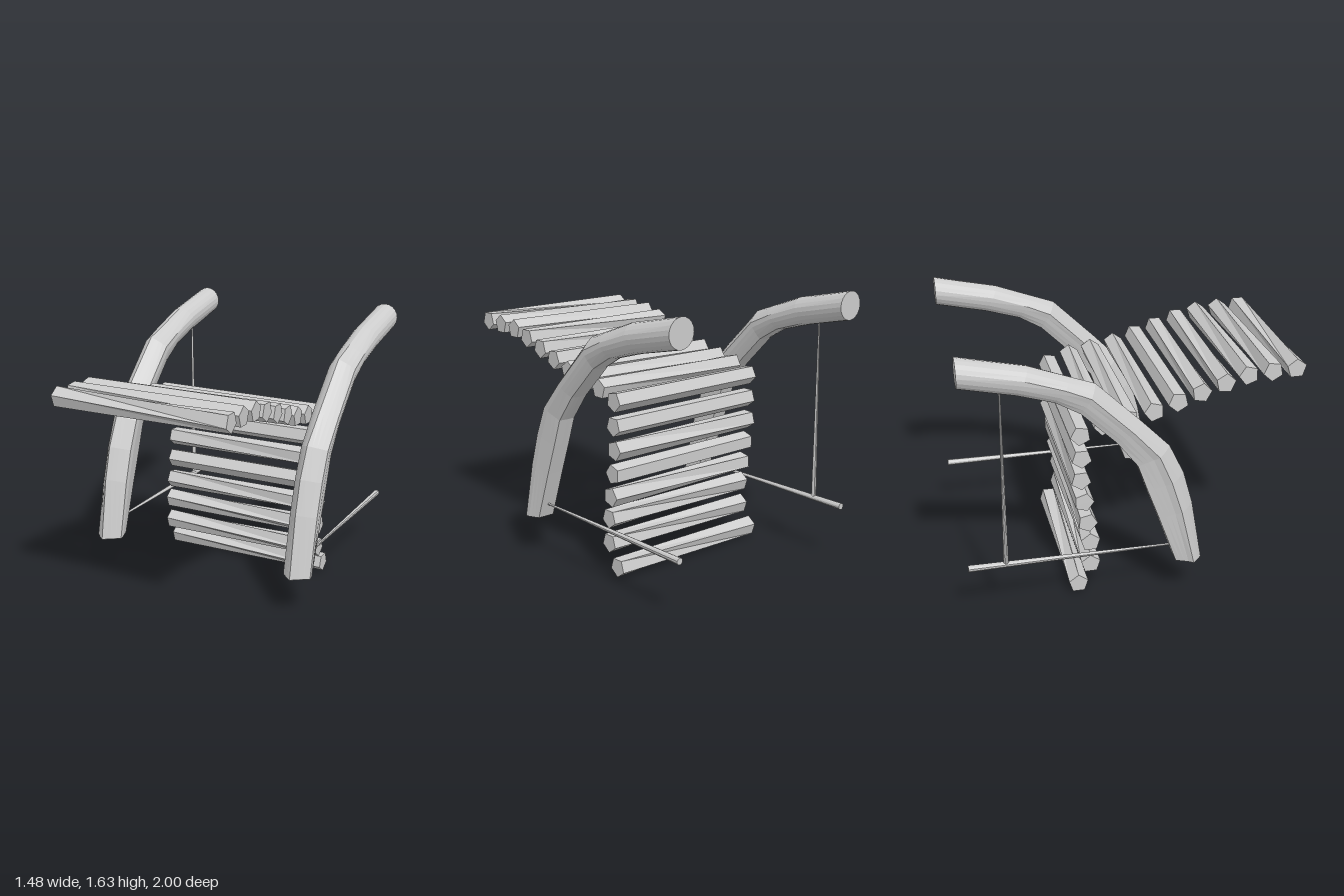
import * as THREE from 'three';

const material = new THREE.MeshStandardMaterial({ color: 0xcccccc, flatShading: true, side: THREE.DoubleSide });
const DEG = Math.PI / 180;
const lerp = THREE.MathUtils.lerp;

// Slats: [z, y, corner angle, twist towards the far end]
const seatSlats = [
  [0.94, 1.335, 270, 36], [0.8, 1.33, 90, 30], [0.655, 1.32, 90, 20], [0.52, 1.285, 270, 30],
  [0.38, 1.24, 270, 25], [0.245, 1.195, 265, 0], [0.105, 1.15, 90, 20], [-0.045, 1.12, 90, 20],
  [-0.185, 1.095, 90, 25],
];
const backSlats = [
  [-0.32, 1.045, 260, 0], [-0.315, 0.9, 270, 0], [-0.32, 0.76, 180, 20], [-0.305, 0.615, 0, 0],
  [-0.285, 0.475, 180, 30], [-0.27, 0.34, 270, 36], [-0.27, 0.19, 270, 36], [-0.345, 0.06, 270, 36],
];

// Five-sided bar along x whose far end is turned by a twist
function slat([z, y, angle, twist]) {
  const geo = new THREE.CylinderGeometry(0.06, 0.06, 1.08, 5).rotateZ(-Math.PI / 2);
  const p = geo.attributes.position;
  for (let i = 0; i < p.count; i++) {
    const a = (angle + (p.getX(i) < 0 ? twist : 0)) * DEG;
    const py = p.getY(i), pz = p.getZ(i);
    p.setXYZ(i, p.getX(i), py * Math.cos(a) + pz * Math.sin(a), pz * Math.cos(a) - py * Math.sin(a));
  }
  geo.computeVertexNormals();
  const mesh = new THREE.Mesh(geo, material);
  mesh.position.set(0, y, z);
  return mesh;
}

// Side rail stations: [outer z, outer y, inner z, inner y, roundness]
const stations = [
  [0.365, 0.24, 0.205, 0.25, 0], [0.3, 0.62, 0.1, 0.55, 0], [0.245, 0.82, 0.03, 0.74, 0],
  [0.16, 1.0, -0.03, 0.905, 0.1], [0, 1.165, -0.15, 1.06, 0.25], [-0.26, 1.42, -0.35, 1.255, 0.4],
  [-0.4, 1.47, -0.49, 1.335, 0.6], [-0.62, 1.55, -0.7, 1.395, 0.8], [-1, 1.63, -1, 1.46, 1],
];

// Loft from a five-sided foot to a round end
function railGeometry() {
  const n = 20, pos = [], index = [];
  for (const [oz, oy, iz, iy, round] of stations) {
    const back = lerp(0.809, 1, round), wide = 0.085 / lerp(0.951, 1, round);
    for (let j = 0; j < n; j++) {
      const t = (j / n) * Math.PI * 2;
      const pentagon = Math.cos(36 * DEG) / Math.cos((t % (72 * DEG)) - 36 * DEG);
      const r = lerp(pentagon, 1, round);
      const k = (r * Math.cos(t) + back) / (1 + back);
      const skew = -0.025 * (1 - round) * Math.max(0, Math.cos(t));
      pos.push(wide * r * Math.sin(t) + skew, lerp(iy, oy, k), lerp(iz, oz, k));
    }
  }
  const last = (stations.length - 1) * n;
  for (let i = 0; i < last; i += n) {
    for (let j = 0; j < n; j++) {
      const k = (j + 1) % n;
      index.push(i + j, i + k, i + n + j, i + k, i + n + k, i + n + j);
    }
  }
  // End caps
  for (let j = 1; j < n - 1; j++) index.push(0, j + 1, j, last, last + j, last + j + 1);
  const geo = new THREE.BufferGeometry();
  geo.setAttribute('position', new THREE.Float32BufferAttribute(pos, 3));
  geo.setIndex(index);
  geo.computeVertexNormals();
  return geo;
}

// Tapered rod between two points
function rod(name, from, to, r0, r1) {
  const a = new THREE.Vector3(...from), b = new THREE.Vector3(...to);
  const dir = b.clone().sub(a);
  const mesh = new THREE.Mesh(new THREE.CylinderGeometry(r1, r0, dir.length(), 10), material);
  mesh.position.copy(a).add(b).multiplyScalar(0.5);
  mesh.quaternion.setFromUnitVectors(new THREE.Vector3(0, 1, 0), dir.normalize());
  mesh.name = name;
  return mesh;
}

export function createModel() {
  const model = new THREE.Group();
  model.name = 'slattedChair';

  for (const [name, list] of [['seatSlats', seatSlats], ['backSlats', backSlats]]) {
    const group = new THREE.Group();
    group.name = name;
    list.forEach((s, i) => {
      const mesh = slat(s);
      mesh.name = `${name.slice(0, -1)}${i + 1}`;
      group.add(mesh);
    });
    model.add(group);
  }

  // Curved side rails with a tapered rod behind each foot
  const rail = railGeometry();
  for (const [side, x] of [['left', 0.648], ['right', -0.65]]) {
    const mesh = new THREE.Mesh(rail, material);
    mesh.name = `${side}SideRail`;
    mesh.position.x = x;
    model.add(mesh, rod(`${side}LowerRod`, [x, 0.335, -1], [x, 0.335, 0.19], 0.02, 0.006));
  }

  // Single upright on the right
  model.add(rod('rightUpright', [-0.65, 0.345, -0.785], [-0.65, 1.43, -0.773], 0.015, 0.005));
  return model;
}
